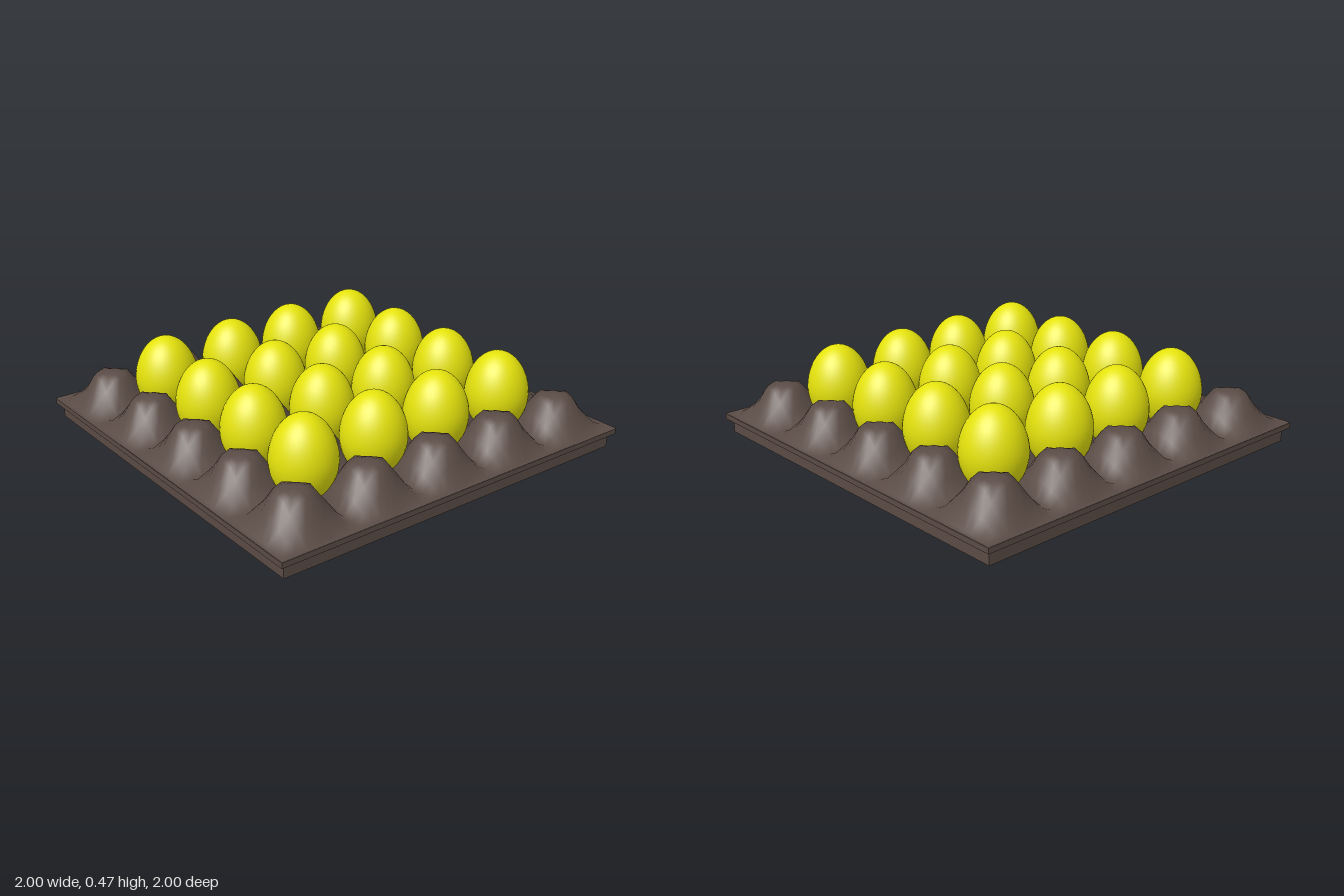
import * as THREE from 'three';

const PITCH = 0.39, HALF = PITCH / 2, FLAT = 0.085;
const BASE = 0.1, RISE = 0.167;

// Profile of one bump at distance u from its centre: domed top, straight flank
function profile(u) {
  u = Math.abs(u);
  return u < FLAT ? 1 - 0.05 * (u / FLAT) ** 2 : 0.95 * Math.max(0, HALF - u) / (HALF - FLAT);
}

// Bump height, with the corners of the top rounded down
function bump(u, v) {
  const corner = Math.min(1, (u / FLAT) ** 2) * Math.min(1, (v / FLAT) ** 2);
  return RISE * profile(u) * profile(v) * (1 - 0.33 * corner);
}

// Moulded sheet of 5 x 5 bumps with straight valleys between them and a flat border
function sheetGeometry() {
  const local = [-HALF, -0.14, -FLAT, -0.045, 0, 0.045, FLAT, 0.14];
  const knots = [[-1, HALF]];
  for (let b = -2; b <= 2; b++) for (const u of local) knots.push([b * PITCH + u, u]);
  knots.push([2.5 * PITCH, HALF], [1, HALF]);
  const n = knots.length, pos = [], idx = [];
  for (const [z, v] of knots) for (const [x, u] of knots) pos.push(x, BASE + bump(u, v), z);
  for (let j = 0; j < n - 1; j++) {
    for (let i = 0; i < n - 1; i++) {
      const a = j * n + i, b = a + 1, c = a + n, d = c + 1;
      idx.push(a, c, b, b, c, d);
    }
  }
  const g = new THREE.BufferGeometry();
  g.setAttribute('position', new THREE.Float32BufferAttribute(pos, 3));
  g.setIndex(idx);
  g.computeVertexNormals();
  return g;
}

// Square frame lying flat, from y0 to y1
function frameGeometry(outer, inner, y0, y1) {
  const square = (C, r) => {
    const s = new C();
    s.moveTo(-r, -r); s.lineTo(r, -r); s.lineTo(r, r); s.lineTo(-r, r); s.closePath();
    return s;
  };
  const shape = square(THREE.Shape, outer);
  shape.holes.push(square(THREE.Path, inner));
  const g = new THREE.ExtrudeGeometry(shape, { depth: y1 - y0, bevelEnabled: false });
  return g.rotateX(-Math.PI / 2).translate(0, y0, 0);
}

// Egg profile: rounded lower half, slightly tapered upper half
function eggGeometry() {
  const pts = [], steps = 24;
  for (let i = 0; i <= steps; i++) {
    const a = -Math.PI / 2 + Math.PI * i / steps;
    const s = Math.sin(a);
    const r = 0.157 * Math.cos(a) * (1 - 0.05 * Math.max(0, s));
    pts.push(new THREE.Vector2(i % steps ? r : 0, 0.262 + s * (s < 0 ? 0.2 : 0.21)));
  }
  return new THREE.LatheGeometry(pts, 36);
}

export function createModel() {
  const model = new THREE.Group();
  const card = new THREE.MeshStandardMaterial({ color: 0x5a4b45, side: THREE.DoubleSide });
  card.name = 'brown card';
  const shell = new THREE.MeshStandardMaterial({ color: 0xe4e20c });
  shell.name = 'yellow shell';

  const add = (name, geometry, material, parent) => {
    const m = new THREE.Mesh(geometry, material);
    m.name = name;
    parent.add(m);
    return m;
  };

  // Tray
  const tray = new THREE.Group();
  tray.name = 'tray';
  model.add(tray);
  add('bumpySheet', sheetGeometry(), card, tray);
  add('rim', frameGeometry(1, 0.972, 0.07, BASE - 0.003), card, tray);
  add('skirt', frameGeometry(0.973, 0.955, 0, 0.075), card, tray);

  // Eggs at the valley crossings
  const eggs = new THREE.Group();
  eggs.name = 'eggs';
  model.add(eggs);
  const egg = eggGeometry();
  for (const z of [-0.57, -0.184, 0.2, 0.582]) {
    for (const x of [-0.582, -0.19, 0.188, 0.587]) {
      add('egg', egg, shell, eggs).position.set(x, 0, z);
    }
  }
  return model;
}
